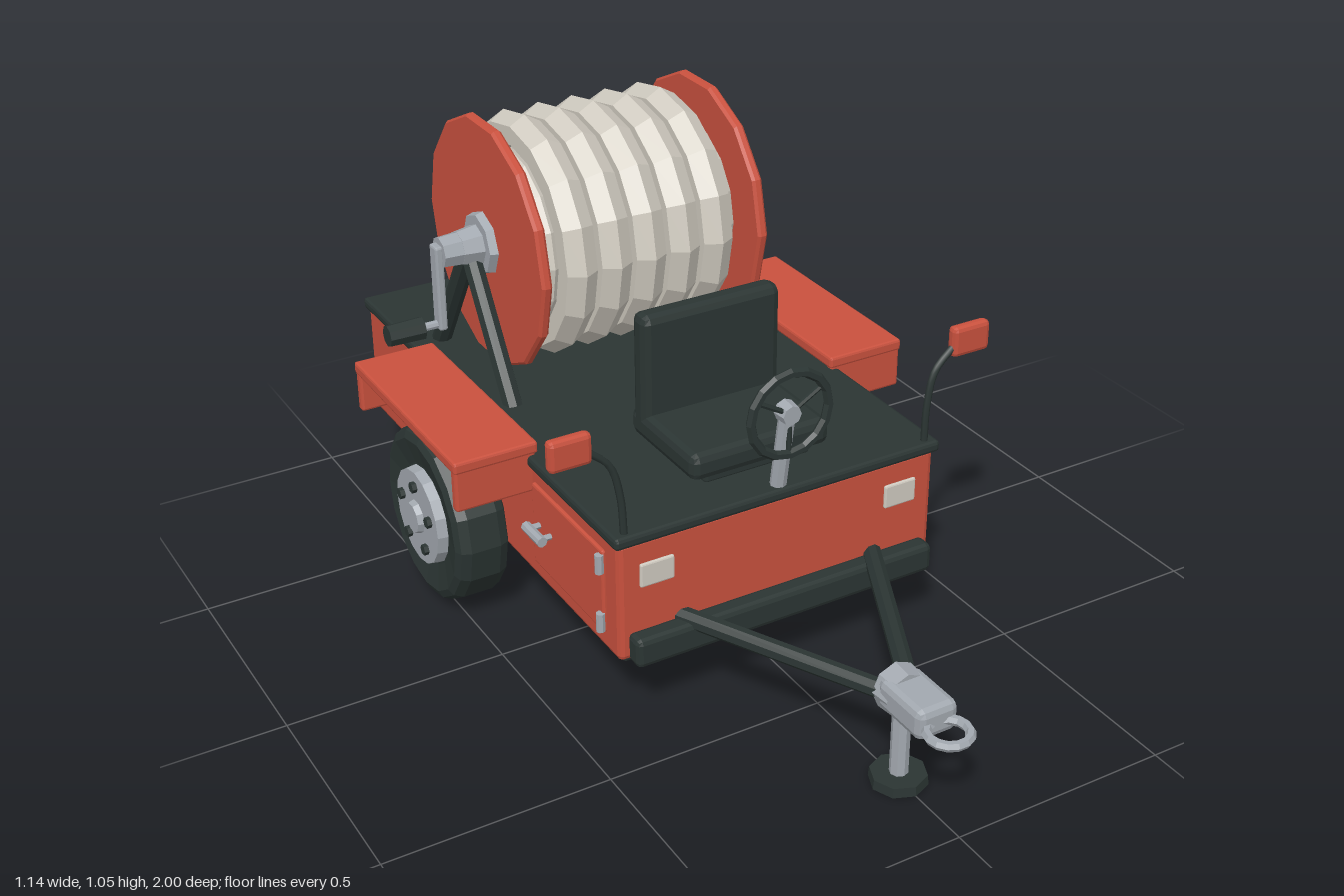
import * as THREE from 'three';
import { RoundedBoxGeometry } from 'three/addons/geometries/RoundedBoxGeometry.js';

const mat = (name, color) => {
  const m = new THREE.MeshStandardMaterial({ color });
  m.name = name;
  return m;
};

export function createModel() {
  const root = new THREE.Group();
  root.name = 'hoseReelTrailer';
  const red = mat('red paint', 0xc9513e);
  const dark = mat('dark rubber', 0x2b3533);
  const silver = mat('steel', 0xa2a8af);
  const beige = mat('canvas hose', 0xd0cbc0);
  const glass = mat('pale lens', 0xcfcac0);
  const amber = mat('amber lens', 0xc98422);

  // Helpers
  const V = (x, y, z) => new THREE.Vector3(x, y, z);
  const flat = (g) => {
    const n = g.index ? g.toNonIndexed() : g;
    n.computeVertexNormals();
    return n;
  };
  const add = (name, geo, m, x = 0, y = 0, z = 0) => {
    const mesh = new THREE.Mesh(geo, m);
    mesh.name = name;
    mesh.position.set(x, y, z);
    root.add(mesh);
    return mesh;
  };
  // Chamfered box from min/max extents
  const box = (name, m, x0, x1, y0, y1, z0, z1, r = 0.008) => {
    const w = x1 - x0, h = y1 - y0, d = z1 - z0;
    const g = flat(new RoundedBoxGeometry(w, h, d, 1, Math.min(r, w / 2.1, h / 2.1, d / 2.1)));
    return add(name, g, m, (x0 + x1) / 2, (y0 + y1) / 2, (z0 + z1) / 2);
  };
  // Cylinder or cone between two points
  const rod = (name, m, a, b, ra, rb = ra, sides = 10) => {
    const g = flat(new THREE.CylinderGeometry(rb, ra, a.distanceTo(b), sides));
    const mesh = add(name, g, m);
    mesh.position.copy(a).add(b).multiplyScalar(0.5);
    mesh.quaternion.setFromUnitVectors(V(0, 1, 0), b.clone().sub(a).normalize());
    return mesh;
  };
  // Lathe turned around the x axis
  const latheX = (name, m, pts, sides, x, y, z) => {
    const g = new THREE.LatheGeometry(pts.map((p) => new THREE.Vector2(p[0], p[1])), sides);
    return add(name, flat(g.rotateZ(-Math.PI / 2)), m, x, y, z);
  };
  const tube = (name, m, pts, r, n, sides) =>
    add(name, new THREE.TubeGeometry(new THREE.CatmullRomCurve3(pts), n, r, sides), m);

  // Body, deck and bumpers
  box('chassis', dark, -0.37, 0.37, 0.13, 0.17, -0.93, 0.325);
  box('body', red, -0.39, 0.39, 0.15, 0.435, -0.94, 0.345, 0.012);
  box('deck', dark, -0.4, 0.4, 0.428, 0.455, -0.945, 0.355);
  box('frontBumper', dark, -0.37, 0.37, 0.15, 0.218, 0.34, 0.388, 0.012);
  box('rearBumper', dark, -0.37, 0.37, 0.15, 0.218, -0.988, -0.935, 0.012);
  box('numberPlate', glass, -0.125, 0.125, 0.255, 0.355, -0.945, -0.936, 0.003);

  // Wheels, fenders, doors, lamps and mirrors on both sides
  const wy = 0.215, wz = -0.3;
  for (const s of [-1, 1]) {
    const bx = (name, m, x0, x1, ...rest) =>
      box(name, m, Math.min(s * x0, s * x1), Math.max(s * x0, s * x1), ...rest);

    rod('axle', dark, V(s * 0.37, wy, wz), V(s * 0.44, wy, wz), 0.035);
    latheX('tyre', dark, [
      [0.001, -0.05], [0.12, -0.05], [0.18, -0.064], [0.197, -0.056], [0.207, -0.035],
      [0.207, 0.035], [0.197, 0.056], [0.18, 0.064], [0.12, 0.056], [0.001, 0.056],
    ], 16, s * 0.482, wy, wz);
    rod('wheelRim', silver, V(s * 0.53, wy, wz), V(s * 0.556, wy, wz), 0.116, 0.112, 16);
    rod('hubCap', silver, V(s * 0.55, wy, wz), V(s * 0.57, wy, wz), 0.042, 0.036, 10);
    for (let i = 0; i < 5; i++) {
      const a = (i / 5) * Math.PI * 2 + Math.PI / 2;
      const y = wy + 0.077 * Math.sin(a), z = wz + 0.077 * Math.cos(a);
      rod('wheelNut', dark, V(s * 0.55, y, z), V(s * 0.567, y, z), 0.013, 0.013, 6);
    }

    bx('fenderTop', red, 0.375, 0.572, 0.458, 0.486, -0.58, -0.035, 0.006);
    bx('fenderFront', red, 0.38, 0.57, 0.365, 0.47, -0.062, -0.038, 0.006);
    bx('fenderRear', red, 0.38, 0.57, 0.365, 0.47, -0.578, -0.554, 0.006);

    bx('sideDoor', red, 0.385, 0.398, 0.195, 0.395, -0.03, 0.29, 0.005);
    for (const y of [0.222, 0.365])
      rod('doorHinge', silver, V(s * 0.402, y - 0.022, 0.285), V(s * 0.402, y + 0.022, 0.285), 0.01, 0.01, 8);
    rod('doorHandle', silver, V(s * 0.425, 0.305, -0.008), V(s * 0.425, 0.305, 0.07), 0.012, 0.012, 8);
    for (const z of [0.005, 0.057])
      rod('handlePost', silver, V(s * 0.39, 0.305, z), V(s * 0.425, 0.305, z), 0.007, 0.007, 6);

    bx('headlight', glass, 0.262, 0.342, 0.322, 0.378, 0.342, 0.352, 0.004);
    bx('tailLight', amber, 0.25, 0.345, 0.33, 0.388, -0.95, -0.937, 0.004);

    tube('mirrorStem', dark, [
      V(s * 0.37, 0.45, 0.335), V(s * 0.375, 0.54, 0.332), V(s * 0.395, 0.615, 0.328),
      V(s * 0.445, 0.662, 0.325),
    ], 0.008, 12, 6);
    bx('mirrorShell', red, 0.435, 0.53, 0.636, 0.706, 0.31, 0.338, 0.01);
    bx('mirrorGlass', glass, 0.444, 0.521, 0.644, 0.698, 0.305, 0.312, 0.003);
  }

  // Seat
  box('seatBase', dark, -0.13, 0.13, 0.45, 0.48, 0.08, 0.25);
  box('seatCushion', dark, -0.17, 0.17, 0.472, 0.534, 0.0, 0.268, 0.018);
  box('seatBack', dark, -0.17, 0.17, 0.472, 0.766, 0.01, 0.066, 0.018);

  // Steering wheel and column
  rod('steeringColumn', silver, V(0, 0.45, 0.328), V(0, 0.64, 0.358), 0.018, 0.018, 8);
  rod('steeringHub', silver, V(0, 0.64, 0.345), V(0, 0.64, 0.378), 0.025, 0.022, 8);
  add('steeringWheel', flat(new THREE.TorusGeometry(0.094, 0.011, 6, 16)), dark, 0, 0.64, 0.368);
  for (const a of [Math.PI / 6, Math.PI * 5 / 6, -Math.PI / 2])
    rod('steeringSpoke', dark, V(0, 0.64, 0.366),
      V(0.092 * Math.cos(a), 0.64 + 0.092 * Math.sin(a), 0.366), 0.006, 0.006, 6);

  // Reel with two layers of wound hose
  const ry = 0.765, rz = -0.46;
  rod('reelCore', beige, V(-0.26, ry, rz), V(0.26, ry, rz), 0.165, 0.165, 16);
  const coil = (name, x, outer) => {
    const g = new THREE.TorusGeometry(outer - 0.043, 0.043, 6, 16);
    add(name, flat(g.rotateY(Math.PI / 2)), beige, x, ry, rz);
  };
  for (let i = 0; i < 6; i++) coil('innerCoil', (i - 2.5) * 0.086, 0.215);
  for (let i = 0; i < 5; i++) coil('outerCoil', (i - 2) * 0.086, 0.282);
  for (const s of [-1, 1]) {
    latheX('reelFlange', red, [
      [0.001, -0.0125], [0.286, -0.0125], [0.292, -0.006], [0.292, 0.006], [0.286, 0.0125], [0.001, 0.0125],
    ], 14, s * 0.272, ry, rz);
    rod('reelHub', silver, V(s * 0.28, ry, rz), V(s * 0.303, ry, rz), 0.077, 0.07, 8);
    rod('reelBearing', silver, V(s * 0.3, ry, rz), V(s * 0.35, ry, rz), 0.048, 0.04, 8);
    for (const z of [-0.265, -0.655])
      rod('reelLeg', dark, V(s * 0.322, 0.445, z), V(s * 0.322, 0.755, rz), 0.023, 0.023, 8);
  }

  // Crank
  rod('crankAxle', silver, V(-0.34, ry, rz), V(-0.395, ry, rz), 0.04, 0.036, 8);
  box('crankArm', silver, -0.411, -0.391, 0.58, 0.785, rz - 0.018, rz + 0.018, 0.005);
  rod('crankPin', silver, V(-0.4, 0.592, rz), V(-0.46, 0.592, rz), 0.01, 0.01, 8);
  rod('crankGrip', dark, V(-0.447, 0.592, rz), V(-0.532, 0.592, rz), 0.027, 0.025, 8);

  // Loose hose end and nozzle
  tube('hoseEnd', beige, [
    V(0.2, 0.6, -0.62), V(0.25, 0.575, -0.665), V(0.315, 0.545, -0.725), V(0.38, 0.518, -0.82),
    V(0.42, 0.47, -0.925), V(0.44, 0.395, -0.97), V(0.443, 0.33, -0.955), V(0.44, 0.305, -0.91),
  ], 0.027, 40, 10);
  const nx = 0.44, ny = 0.307;
  rod('nozzleCoupling', dark, V(nx, ny, -0.93), V(nx, ny, -0.882), 0.045, 0.045, 10);
  rod('nozzleBody', silver, V(nx, ny, -0.885), V(nx, ny, -0.71), 0.035, 0.032, 10);
  rod('nozzleTip', silver, V(nx, ny, -0.715), V(nx, ny, -0.625), 0.017, 0.036, 10);
  box('nozzleStripe', red, nx - 0.008, nx + 0.008, ny + 0.03, ny + 0.039, -0.86, -0.74, 0.003);
  for (const z of [-0.735, -0.865]) {
    box('nozzleBracket', silver, 0.385, 0.445, 0.29, 0.325, z - 0.008, z + 0.008, 0.003);
    rod('nozzleClip', silver, V(nx, ny, z - 0.007), V(nx, ny, z + 0.007), 0.042, 0.042, 10);
  }
  rod('nozzleValve', dark, V(0.405, ny + 0.02, -0.74), V(0.44, ny + 0.045, -0.74), 0.012, 0.012, 6);

  // Tow frame, coupler and eye
  for (const s of [-1, 1])
    rod('towBar', dark, V(s * 0.245, 0.215, 0.33), V(s * 0.02, 0.218, 0.79), 0.021, 0.021, 8);
  rod('couplerCollar', silver, V(0, 0.218, 0.765), V(0, 0.218, 0.81), 0.054, 0.05, 8);
  box('coupler', silver, -0.048, 0.048, 0.187, 0.256, 0.77, 0.915, 0.016);
  const eye = new THREE.TorusGeometry(0.043, 0.011, 6, 14);
  add('towEye', flat(eye.rotateX(Math.PI / 2)), silver, 0, 0.217, 0.945);

  // Support jack
  rod('jackPost', silver, V(0, 0.015, 0.795), V(0, 0.2, 0.795), 0.02, 0.02, 8);
  rod('jackFoot', dark, V(0, 0, 0.795), V(0, 0.022, 0.795), 0.062, 0.06, 8);
  rod('jackHandle', silver, V(0, 0.145, 0.785), V(0.105, 0.145, 0.785), 0.008, 0.008, 6);

  return root;
}
